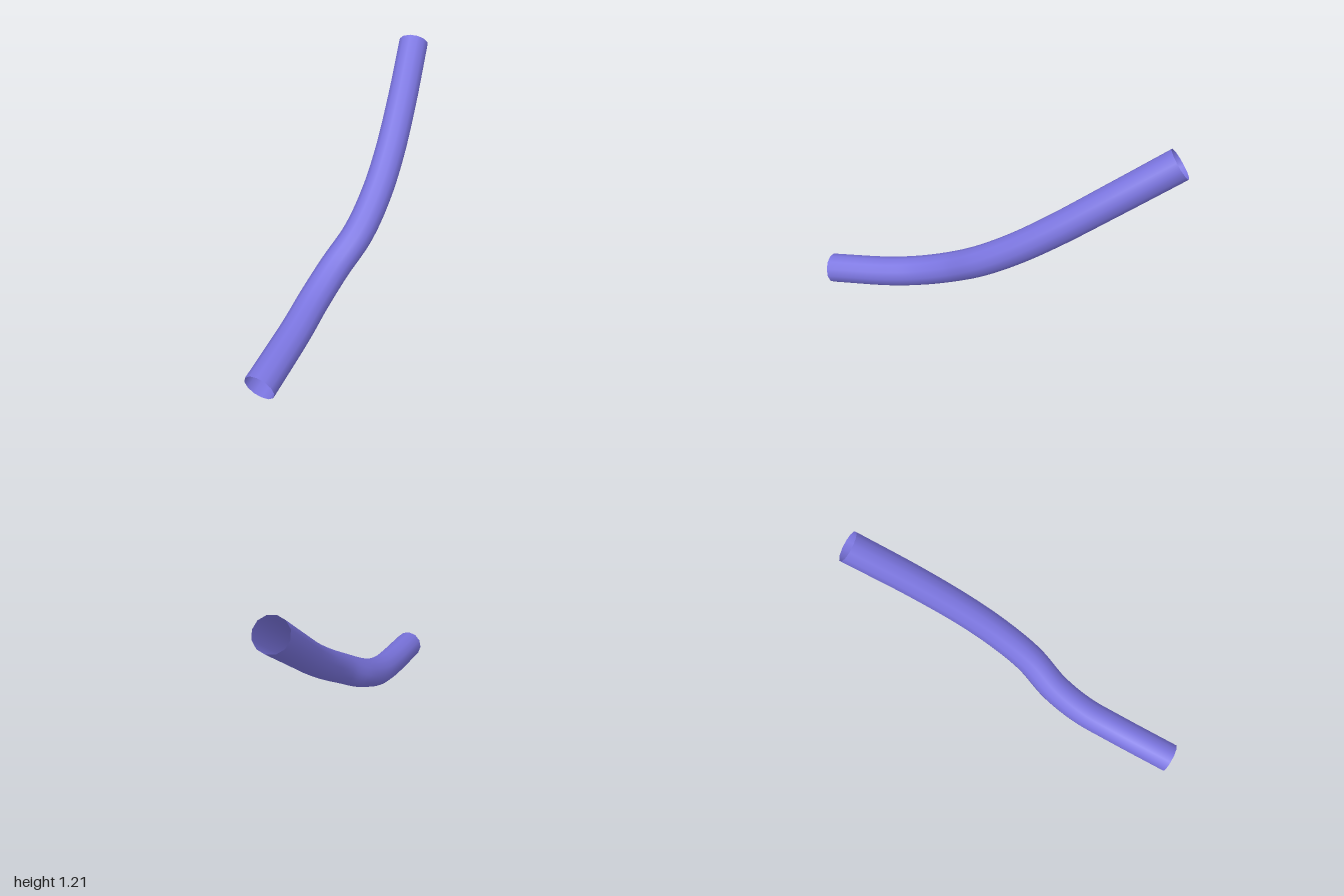
import * as THREE from 'three';

export function createModel() {
  const group = new THREE.Group();
  group.name = 'bentTube';

  // Centre line of the tube, from the low end to the raised end
  const path = new THREE.CatmullRomCurve3([
    [-0.97, 0.091, 0.255],
    [-0.6, 0.148, 0.163],
    [-0.4, 0.2, 0.113],
    [-0.2, 0.288, 0.088],
    [0, 0.413, 0.092],
    [0.2, 0.55, 0.055],
    [0.4, 0.703, -0.01],
    [0.65, 0.907, -0.118],
    [0.94, 1.142, -0.26],
  ].map(p => new THREE.Vector3(...p)));

  // Hollow tube, open at both ends
  const tube = new THREE.Mesh(
    new THREE.TubeGeometry(path, 64, 0.088, 12, false),
    new THREE.MeshStandardMaterial({ color: 0x7b75e0, side: THREE.DoubleSide })
  );
  tube.name = 'tube';
  group.add(tube);
  return group;
}
